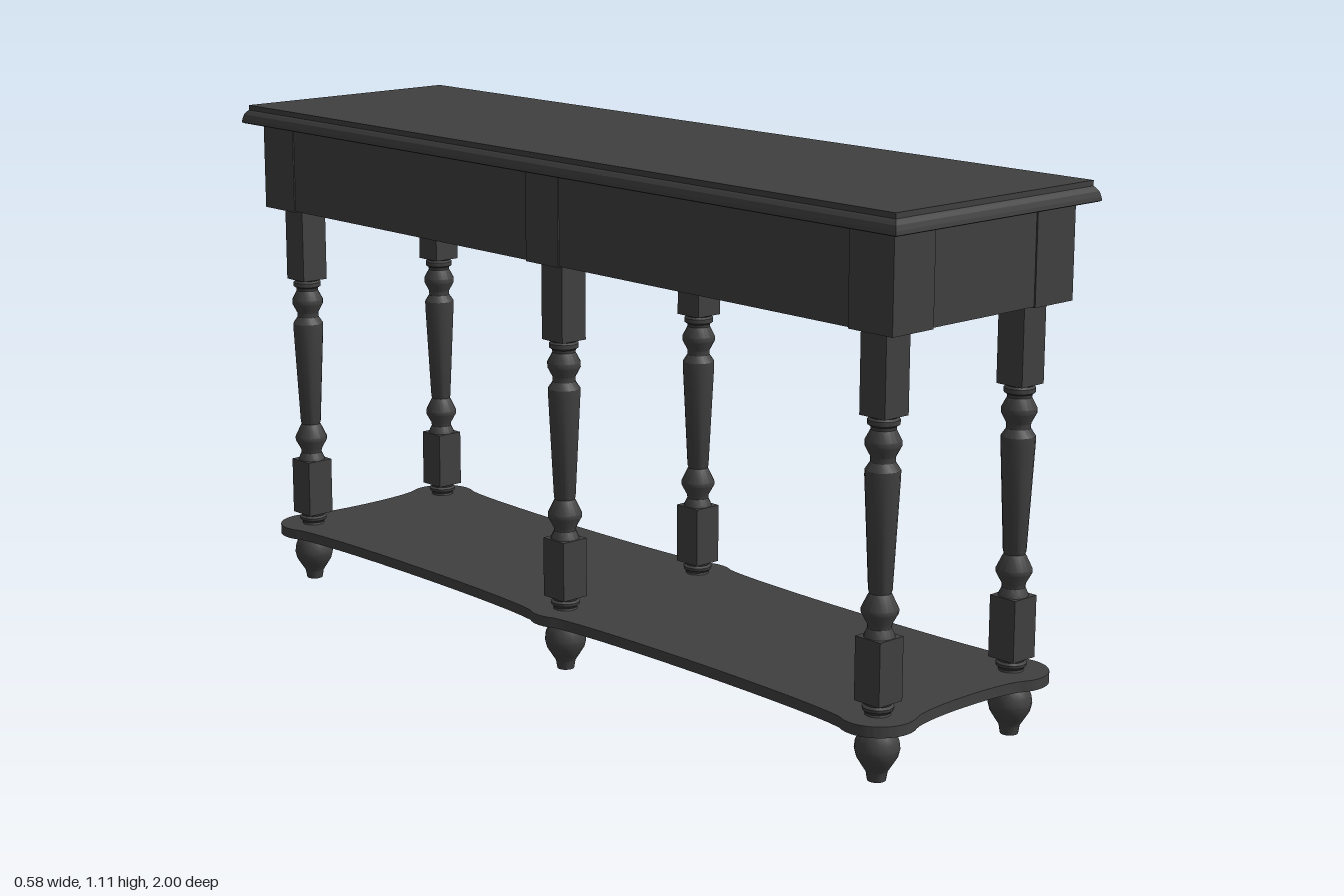
import * as THREE from 'three';
import { toCreasedNormals } from 'three/addons/utils/BufferGeometryUtils.js';

const material = new THREE.MeshStandardMaterial({ color: 0x404040 });
const LEG_X = [-0.202, 0.182], LEG_Z = [-0.895, 0, 0.895];

function add(parent, name, geometry, x = 0, y = 0, z = 0) {
  const mesh = new THREE.Mesh(geometry, material);
  mesh.name = name;
  mesh.position.set(x, y, z);
  parent.add(mesh);
  return mesh;
}

// Box given by its limits
function addBox(parent, name, x0, x1, y0, y1, z0, z1) {
  return add(parent, name, new THREE.BoxGeometry(x1 - x0, y1 - y0, z1 - z0),
    (x0 + x1) / 2, (y0 + y1) / 2, (z0 + z1) / 2);
}

// Round turning from [radius, y] pairs, bottom to top
function turning(profile, sides = 18) {
  const points = profile.map(([r, y]) => new THREE.Vector2(r, y));
  return toCreasedNormals(new THREE.LatheGeometry(points, sides), 0.5);
}

// Closed block through rectangular sections [y, halfX, halfZ], bottom to top
function moulded(sections) {
  const corners = [[1, 1], [1, -1], [-1, -1], [-1, 1]];
  const rings = sections.map(([y, hx, hz]) => corners.map(([x, z]) => [x * hx, y, z * hz]));
  const positions = [];
  const quad = (a, b, c, d) => positions.push(...a, ...b, ...c, ...a, ...c, ...d);
  for (let k = 0; k + 1 < rings.length; k++) {
    for (let i = 0; i < 4; i++) {
      const j = (i + 1) % 4;
      quad(rings[k][i], rings[k][j], rings[k + 1][j], rings[k + 1][i]);
    }
  }
  const [b, t] = [rings[0], rings[rings.length - 1]];
  quad(b[3], b[2], b[1], b[0]);
  quad(t[0], t[1], t[2], t[3]);
  const geometry = new THREE.BufferGeometry();
  geometry.setAttribute('position', new THREE.Float32BufferAttribute(positions, 3));
  geometry.computeVertexNormals();
  return geometry;
}

// Shelf outline: a round lobe at each leg, joined by shallow inward curves
function shelfGeometry() {
  const r = 0.075, d = Math.PI / 180;
  const [x0, x1] = LEG_X, z = LEG_Z[2];
  const lobes = [
    [x1, -z, -120, 30], [x1, 0, -30, 30], [x1, z, -30, 120],
    [x0, z, 60, 210], [x0, 0, 150, 210], [x0, -z, 150, 300],
  ];
  const at = ([x, y], angle) => [x + r * Math.cos(angle * d), y + r * Math.sin(angle * d)];
  const shape = new THREE.Shape();
  shape.moveTo(...at(lobes[0], lobes[0][2]));
  lobes.forEach((lobe, i) => {
    const [x, y, start, end] = lobe;
    const next = lobes[(i + 1) % lobes.length];
    shape.absarc(x, y, r, start * d, end * d, false);
    const p = at(lobe, end), q = at(next, next[2]);
    const normal = (end - 30) * d, inset = 0.025;
    const nx = -Math.cos(normal) * inset, ny = -Math.sin(normal) * inset;
    const mix = (t) => [p[0] + (q[0] - p[0]) * t + nx, p[1] + (q[1] - p[1]) * t + ny];
    shape.bezierCurveTo(...mix(0.15), ...mix(0.85), ...q);
  });
  const geometry = new THREE.ExtrudeGeometry(shape, { depth: 0.022, bevelEnabled: false, curveSegments: 14 });
  return toCreasedNormals(geometry.rotateX(-Math.PI / 2), 0.5);
}

function createLeg() {
  const leg = new THREE.Group();
  leg.name = 'leg';
  const foot = turning([
    [0, 0], [0.018, 0], [0.021, 0.018], [0.03, 0.032], [0.04, 0.048], [0.044, 0.064],
    [0.042, 0.08], [0.036, 0.094], [0.027, 0.106], [0.025, 0.112],
  ]);
  const collar = turning([
    [0.026, 0.13], [0.024, 0.136], [0.03, 0.142], [0.031, 0.148], [0.026, 0.152], [0.031, 0.162],
  ]);
  const spindle = turning([
    [0.031, 0.283], [0.028, 0.292], [0.023, 0.302], [0.024, 0.31], [0.036, 0.332], [0.036, 0.34],
    [0.024, 0.365], [0.021, 0.37], [0.023, 0.376], [0.034, 0.595], [0.034, 0.607], [0.024, 0.622],
    [0.024, 0.632], [0.035, 0.653], [0.035, 0.663], [0.024, 0.684], [0.025, 0.69], [0.031, 0.694],
    [0.031, 0.703], [0.027, 0.707], [0.031, 0.713],
  ]);
  add(leg, 'foot', foot);
  add(leg, 'lowerCollar', collar);
  add(leg, 'spindle', spindle);
  addBox(leg, 'lowerBlock', -0.032, 0.032, 0.158, 0.285, -0.032, 0.032);
  addBox(leg, 'upperBlock', -0.032, 0.032, 0.71, 0.88, -0.032, 0.032);
  return leg;
}

function createDrawer() {
  const drawer = new THREE.Group();
  drawer.name = 'drawer';
  const front = moulded([
    [-0.01, 0.08, 0.187], [0.005, 0.08, 0.187], [0.008, 0.076, 0.183],
    [0.014, 0.066, 0.173], [0.014, 0.064, 0.171], [0.012, 0.062, 0.169],
  ]).rotateZ(-Math.PI / 2);
  const knob = turning([
    [0.013, 0.01], [0.012, 0.016], [0.008, 0.019], [0.008, 0.026], [0.016, 0.029],
    [0.023, 0.033], [0.023, 0.037], [0.018, 0.043], [0.01, 0.046], [0, 0.047],
  ], 16).rotateZ(-Math.PI / 2);
  add(drawer, 'drawerFront', front);
  add(drawer, 'knob', knob);
  return drawer;
}

export function createModel() {
  const table = new THREE.Group();
  table.name = 'consoleTable';

  // Table top with a rounded edge
  const edge = [[1.065, 0.004], [1.067, 0], [1.075, 0.001], [1.085, 0.004], [1.092, 0.009], [1.095, 0.012], [1.106, 0.012]];
  add(table, 'tableTop', moulded(edge.map(([y, inset]) => [y, 0.287 - inset, 1 - inset])), -0.008);

  // Apron box with slightly proud posts at the corners and middle
  addBox(table, 'apron', -0.257, 0.242, 0.876, 1.066, -0.962, 0.962);
  for (const [x0, x1] of [[-0.26, -0.15], [0.135, 0.245]]) {
    for (const z of [-0.91, 0, 0.91]) {
      const half = z === 0 ? 0.05 : 0.055;
      addBox(table, 'apronPost', x0, x1, 0.874, 1.066, z - half, z + half);
    }
  }

  // Four drawers along the +x side
  for (const z of [-0.652, -0.257, 0.257, 0.652]) {
    const drawer = createDrawer();
    drawer.position.set(0.243, 0.974, z);
    table.add(drawer);
  }

  // Six turned legs and the lower shelf
  for (const x of LEG_X) {
    for (const z of LEG_Z) {
      const leg = createLeg();
      leg.position.set(x, 0, z);
      table.add(leg);
    }
  }
  add(table, 'shelf', shelfGeometry(), 0, 0.11, 0);

  return table;
}
